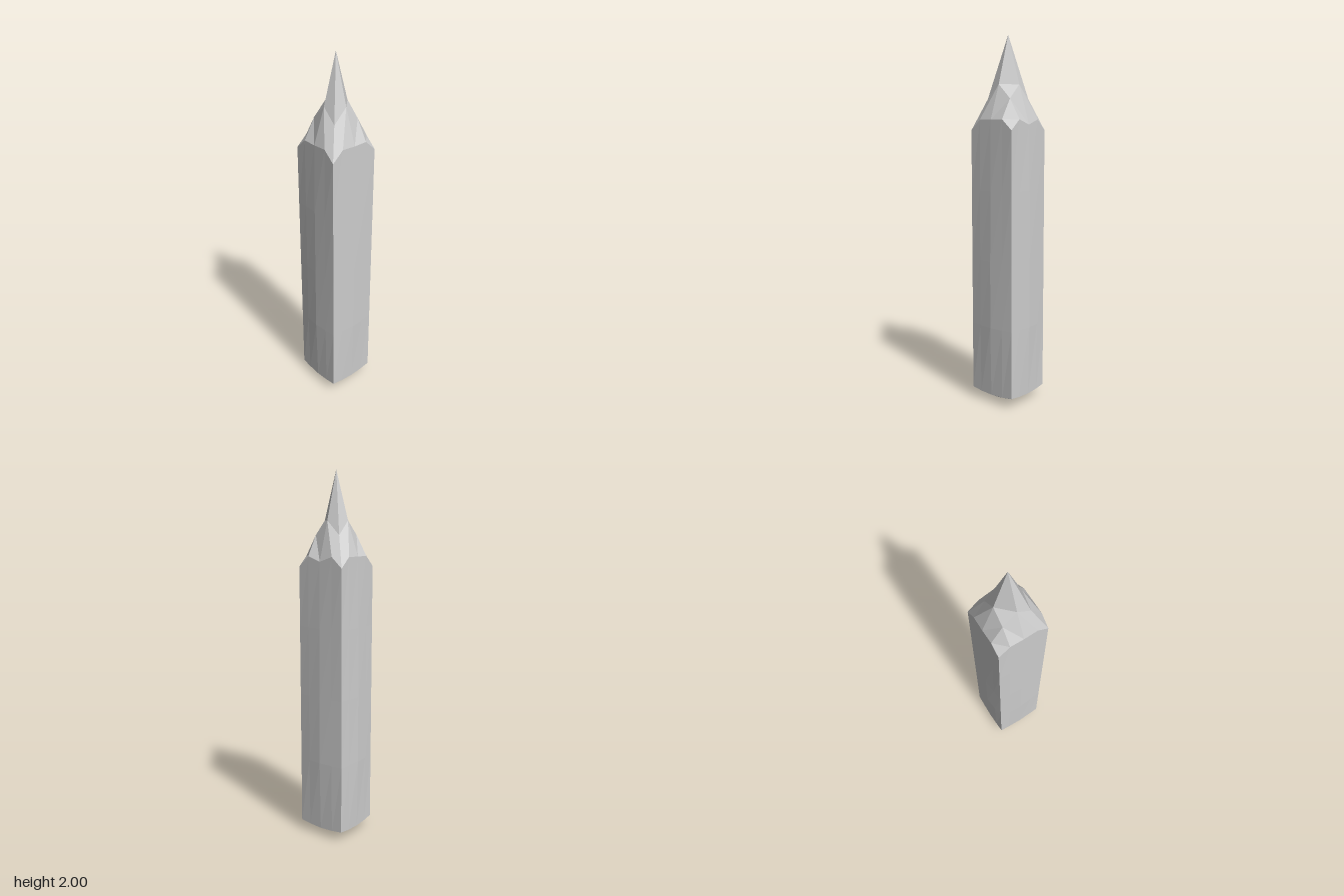
import * as THREE from 'three';

// Rings of the shaft from bottom to top: [height, bulge at mid-face]
const RINGS = [[0.05, 0.144], [0.43, 0.152], [0.8, 0.15], [1.18, 0.147], [1.56, 0.142]];
const CORNER = 0.14;
const INNER = 0.077;

// Cap heights indexed by grid steps from the centre [larger step][smaller step]
const TIP = [[2], [1.74, 1.665], [1.555, 1.557, 1.5]];
const FOOT = [[0], [0.008, 0.018], [0.045, 0.048, 0.056]];

// Horizontal position of a grid step, bulging outward on the faces
function spread(step, other, bulge) {
  const s = Math.abs(step);
  if (s === 0) return 0;
  if (s === 1) return Math.sign(step) * INNER;
  const t = Math.abs(other) / 2;
  return Math.sign(step) * (bulge + (CORNER - bulge) * t);
}

export function createModel() {
  const group = new THREE.Group();

  // A four-by-four-by-four box reshaped into a pointed post
  const geometry = new THREE.BoxGeometry(4, 4, 4, 4, 4, 4);
  const p = geometry.attributes.position;
  for (let n = 0; n < p.count; n++) {
    const i = Math.round(p.getX(n));
    const j = Math.round(p.getY(n));
    const k = Math.round(p.getZ(n));
    const [ringY, bulge] = RINGS[j + 2];
    const far = Math.max(Math.abs(i), Math.abs(k));
    const near = Math.min(Math.abs(i), Math.abs(k));
    let y = ringY;
    if (j === 2) y = TIP[far][near];
    if (j === -2) y = FOOT[far][near];
    // The rim dips slightly on the left face
    if (j === 2 && i === 2 && k === 0) y = 1.53;
    p.setXYZ(n, spread(i, k, bulge), y, spread(k, i, bulge));
  }
  const faceted = geometry.toNonIndexed();
  faceted.computeVertexNormals();

  const post = new THREE.Mesh(
    faceted,
    new THREE.MeshStandardMaterial({ color: 0xcccccc, flatShading: true })
  );
  post.name = 'pointedPost';
  group.add(post);
  return group;
}
